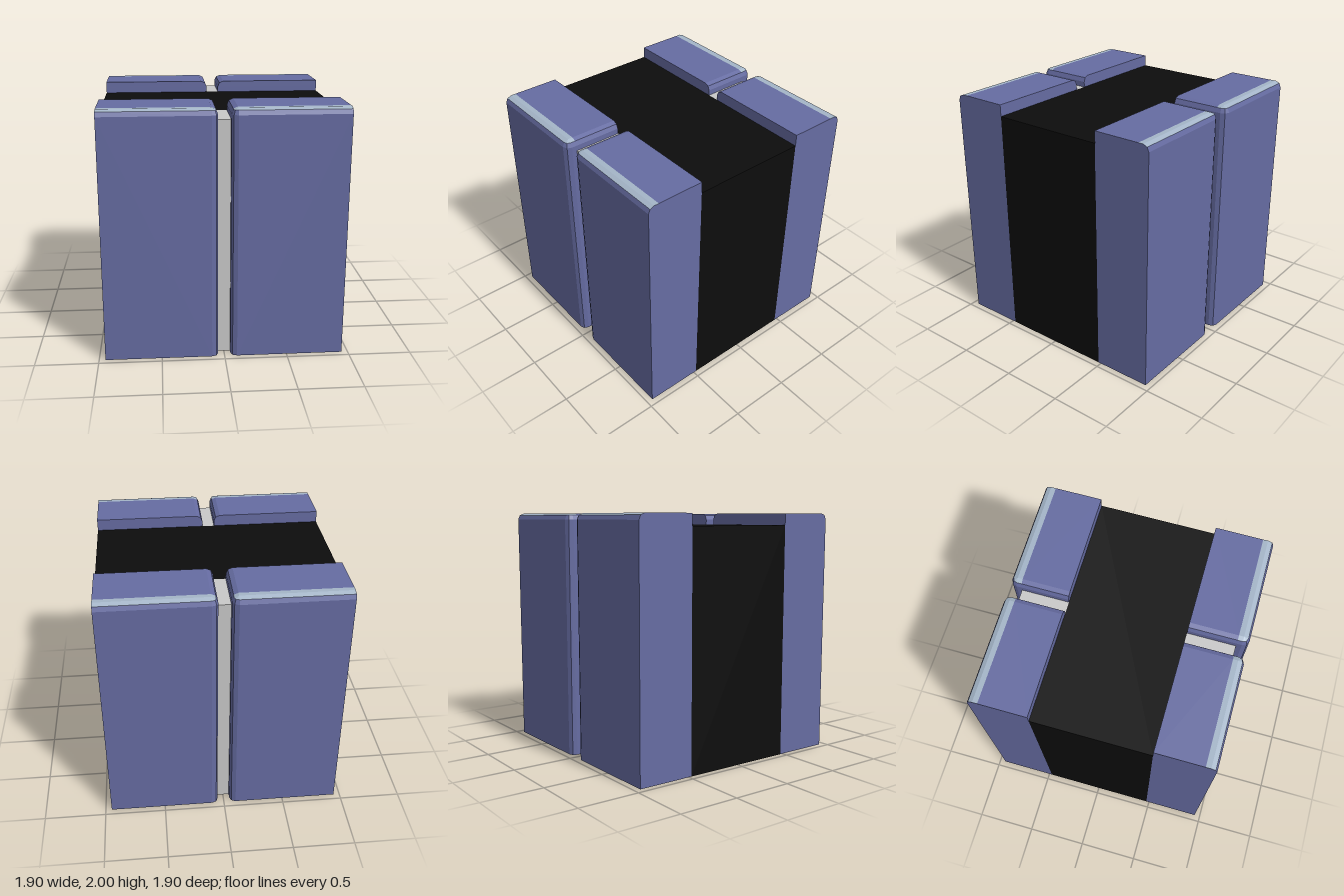
import * as THREE from 'three';

const blue = new THREE.MeshStandardMaterial({ name: 'slate blue', color: 0x666ca2 });
const pale = new THREE.MeshStandardMaterial({ name: 'pale blue', color: 0xa4b5c8 });
const black = new THREE.MeshStandardMaterial({ name: 'black', color: 0x0d0d0d });
const grey = new THREE.MeshStandardMaterial({ name: 'light grey', color: 0xc9c9c9 });

const INNER = 0.475, OUTER = 0.95, GAP = 0.05, R = 0.05, STRIP = 0.86;

// Plan outline of a block, inset by d from the gap side and the outer face
function outline(d, y) {
  const k = (R - d) * Math.SQRT1_2, cx = GAP + R, cz = OUTER - R;
  return [
    [OUTER, INNER], [GAP + d, INNER], [GAP + d, STRIP], [GAP + d, cz],
    [cx - k, cz + k], [cx, OUTER - d], [OUTER, OUTER - d], [OUTER, STRIP],
  ].map(([x, z]) => new THREE.Vector3(x, y, z));
}

// Block with bevelled gap and outer edges, and a pale strip on top
function blockGeometry(sx, sz) {
  const faces = [[], []]; // blue, pale
  const tri = (m, a, b, c) => {
    if (new THREE.Triangle(a, b, c).getArea() < 1e-7) return;
    for (const p of sx * sz > 0 ? [a, b, c] : [a, c, b]) faces[m].push(p.x * sx, p.y, p.z * sz);
  };
  const fan = (m, pts) => {
    for (let i = 1; i < pts.length - 1; i++) tri(m, pts[0], pts[i], pts[i + 1]);
  };
  const bevel = R * (1 - Math.SQRT1_2);
  const loops = [outline(0, 0), outline(0, 2 - R), outline(bevel, 2 - bevel), outline(R, 2)];
  for (let l = 0; l < 3; l++) {
    for (let i = 0; i < 8; i++) {
      const j = (i + 1) % 8;
      const m = l === 2 && i >= 2 && i <= 5 ? 1 : 0;
      fan(m, [loops[l][i], loops[l][j], loops[l + 1][j], loops[l + 1][i]]);
    }
  }
  const top = loops[3];
  fan(0, [top[0], top[1], top[2], top[7]]);
  fan(1, [top[2], top[3], top[6], top[7]]);
  fan(0, [...loops[0]].reverse());

  const geo = new THREE.BufferGeometry();
  geo.setAttribute('position', new THREE.Float32BufferAttribute(faces.flat(), 3));
  geo.addGroup(0, faces[0].length / 3, 0);
  geo.addGroup(faces[0].length / 3, faces[1].length / 3, 1);
  geo.computeVertexNormals();
  return geo;
}

function box(name, w, h, d, z, material) {
  const mesh = new THREE.Mesh(new THREE.BoxGeometry(w, h, d), material);
  mesh.name = name;
  mesh.position.set(0, h / 2, z);
  return mesh;
}

export function createModel() {
  const model = new THREE.Group();
  model.name = 'wallSection';

  // Dark core through the middle
  model.add(box('core', 2 * OUTER, 1.905, 2 * INNER, 0, black));

  for (const sz of [1, -1]) {
    const side = sz > 0 ? 'front' : 'back';
    // Joint filler between the two blocks
    model.add(box(side + 'Joint', 2 * GAP, 1.905, STRIP - INNER, sz * (STRIP + INNER) / 2, grey));
    // Facing blocks
    for (const sx of [1, -1]) {
      const block = new THREE.Mesh(blockGeometry(sx, sz), [blue, pale]);
      block.name = side + (sx > 0 ? 'Left' : 'Right') + 'Block';
      model.add(block);
    }
  }
  return model;
}
